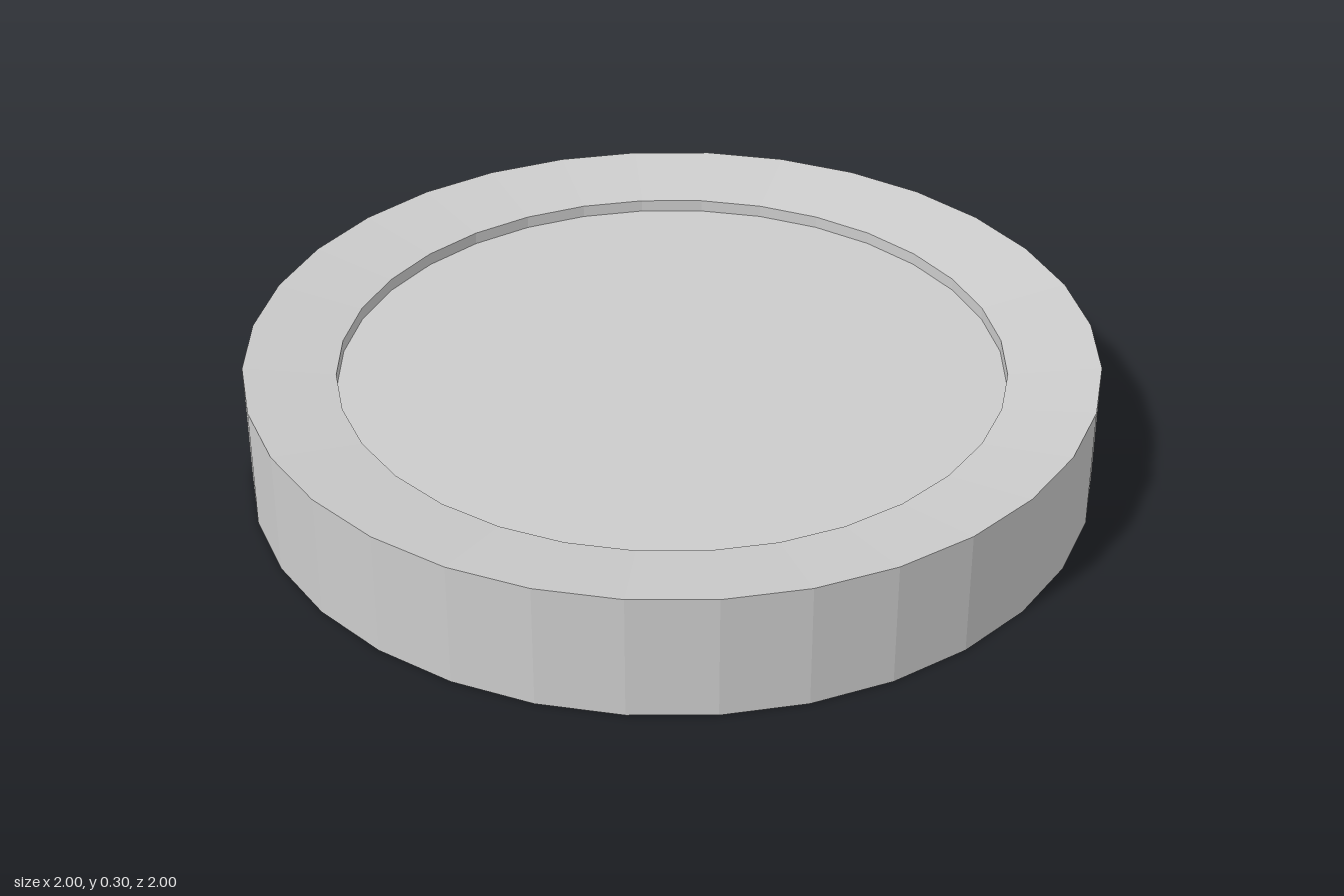
import * as THREE from 'three';

const SIDES = 32;
const OUTER = 1, INNER = 0.785;

export function createModel() {
  const group = new THREE.Group();
  group.name = 'dish';
  const material = new THREE.MeshStandardMaterial({ color: 0xcccccc, flatShading: true });

  // Revolves a profile of [radius, height] points into a faceted part
  const addLathe = (name, profile) => {
    const points = profile.map(([r, y]) => new THREE.Vector2(r, y));
    const mesh = new THREE.Mesh(new THREE.LatheGeometry(points, SIDES), material);
    mesh.name = name;
    group.add(mesh);
  };

  // Thick ring whose top and underside slope in toward the recesses
  addLathe('rim', [
    [INNER, 0.17], [INNER, 0.03], [OUTER, 0],
    [OUTER, 0.3], [INNER, 0.27], [INNER, 0.24],
  ]);

  // Flat plate set inside the ring, recessed shallowly above and deeper below
  addLathe('plateUnderside', [[0, 0.17], [INNER, 0.17]]);
  addLathe('plateTop', [[INNER, 0.24], [0, 0.24]]);

  return group;
}
